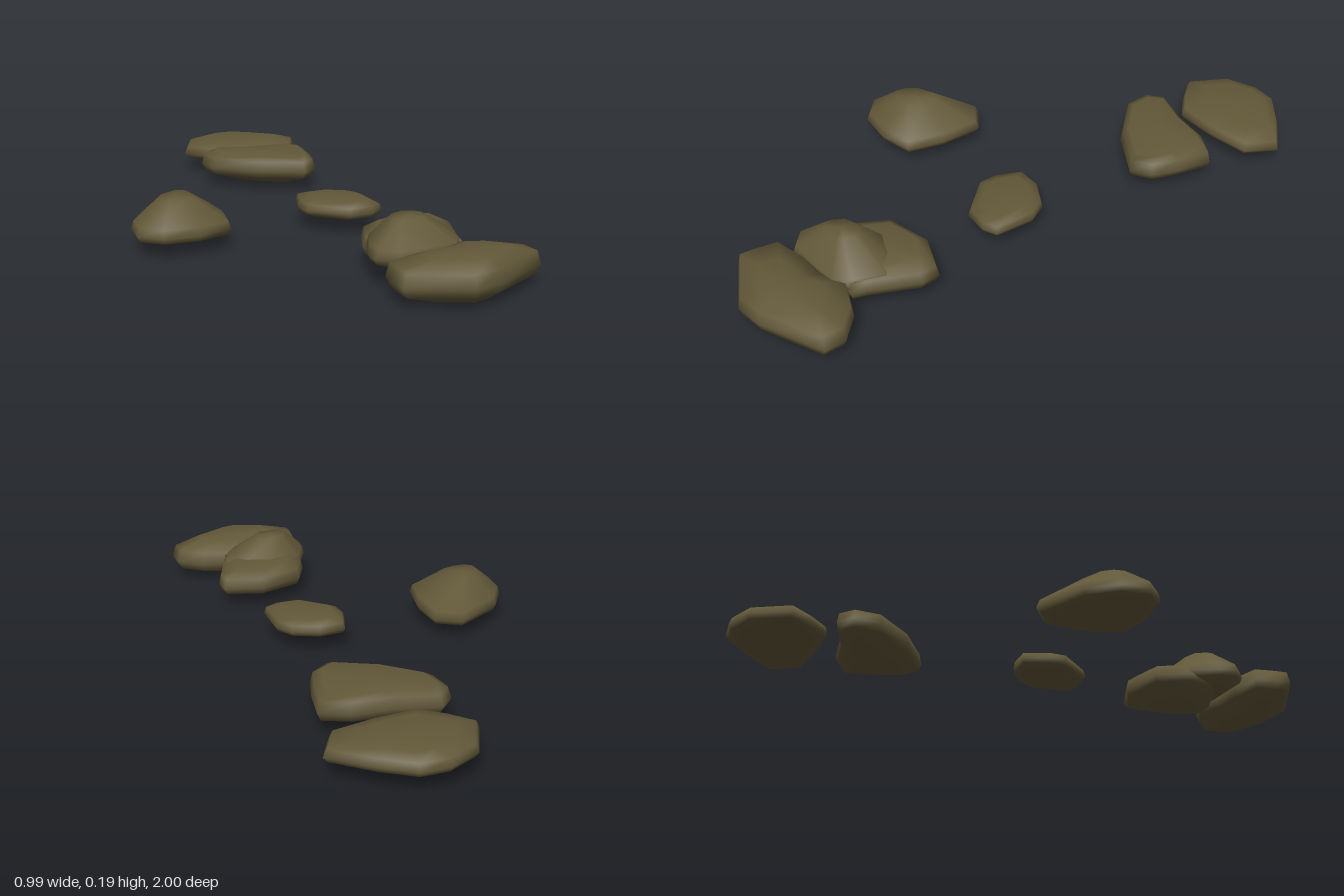
import * as THREE from 'three';

// Worn stone: rings swept from a flat underside, round a thick rim, up to a crown.
// outline: [x, z] corners, clockwise from above
// y: [underside, rim bottom, rim top, crown]; crown and base: [x, z, scale]
function stoneGeometry({ outline, y, crown, base = crown }) {
  const n = outline.length;
  const cx = outline.reduce((s, p) => s + p[0], 0) / n;
  const cz = outline.reduce((s, p) => s + p[1], 0) / n;
  const [lo, rimLo, rimHi, hi] = y;
  const rings = [
    [base[0], base[1], base[2], lo],
    [cx, cz, 0.94, rimLo],
    [cx, cz, 1, rimLo + (rimHi - rimLo) * 0.4],
    [cx, cz, 0.95, rimHi],
    [crown[0], crown[1], crown[2], hi],
  ];
  const pos = [];
  const index = [];
  for (const [x, z, s, h] of rings) {
    for (const p of outline) pos.push(x + (p[0] - cx) * s, h, z + (p[1] - cz) * s);
  }
  const bottom = rings.length * n;
  const top = bottom + 1;
  pos.push(base[0], lo - 0.002, base[1], crown[0], hi + 0.003, crown[1]);
  const last = (rings.length - 1) * n;
  for (let i = 0; i < n; i++) {
    const j = (i + 1) % n;
    for (let r = 0; r < last; r += n) {
      index.push(r + j, r + i, r + n + i, r + j, r + n + i, r + n + j);
    }
    index.push(bottom, i, j, top, last + j, last + i);
  }
  const geometry = new THREE.BufferGeometry();
  geometry.setAttribute('position', new THREE.Float32BufferAttribute(pos, 3));
  geometry.setIndex(index);
  geometry.computeVertexNormals();
  return geometry;
}

const stones = {
  backStone: {
    outline: [[0.01, -0.82], [0.07, -0.95], [0.17, -1], [0.26, -1], [0.36, -0.93],
      [0.47, -0.83], [0.42, -0.73], [0.28, -0.7], [0.14, -0.69], [0.07, -0.75]],
    y: [0.042, 0.055, 0.095, 0.11], crown: [0.23, -0.85, 0.65],
  },
  backInnerStone: {
    outline: [[0.01, -0.63], [0.055, -0.675], [0.19, -0.64], [0.32, -0.63], [0.405, -0.59],
      [0.385, -0.475], [0.36, -0.385], [0.3, -0.34], [0.145, -0.42], [0.02, -0.54]],
    y: [0.025, 0.05, 0.11, 0.124], crown: [0.22, -0.53, 0.8], base: [0.23, -0.52, 0.5],
  },
  smallStone: {
    outline: [[0.095, 0.055], [0.125, -0.035], [0.21, -0.04], [0.295, 0], [0.33, 0.06],
      [0.33, 0.195], [0.285, 0.22], [0.205, 0.22], [0.1, 0.115]],
    y: [0.045, 0.055, 0.09, 0.102], crown: [0.22, 0.09, 0.7],
  },
  sideStone: {
    outline: [[-0.495, 0.18], [-0.485, 0.08], [-0.425, -0.015], [-0.26, -0.11], [-0.18, -0.06],
      [-0.175, 0.08], [-0.2, 0.205], [-0.315, 0.24], [-0.43, 0.235]],
    y: [0.037, 0.048, 0.092, 0.162], crown: [-0.345, 0.1, 0.35], base: [-0.32, 0.1, 0.65],
  },
  lowerStone: {
    outline: [[0.08, 0.55], [0.125, 0.45], [0.275, 0.4], [0.4, 0.44], [0.405, 0.5],
      [0.345, 0.66], [0.335, 0.7], [0.2, 0.71], [0.09, 0.66]],
    y: [0.012, 0.05, 0.105, 0.127], crown: [0.25, 0.55, 0.65], base: [0.23, 0.61, 0.5],
  },
  upperStone: {
    outline: [[0.035, 0.72], [0.04, 0.66], [0.09, 0.555], [0.21, 0.5], [0.31, 0.53],
      [0.36, 0.59], [0.33, 0.69], [0.29, 0.74], [0.09, 0.765]],
    y: [0.05, 0.07, 0.115, 0.184], crown: [0.175, 0.64, 0.34], base: [0.2, 0.64, 0.65],
  },
  frontStone: {
    outline: [[0.02, 0.87], [0.03, 0.79], [0.135, 0.755], [0.24, 0.74], [0.32, 0.7],
      [0.41, 0.73], [0.485, 0.795], [0.49, 0.865], [0.29, 0.975], [0.2, 0.995], [0.02, 0.915]],
    y: [0.004, 0.035, 0.105, 0.13], crown: [0.25, 0.85, 0.55], base: [0.25, 0.85, 0.5],
  },
};

export function createModel() {
  const group = new THREE.Group();
  group.name = 'scatteredStones';
  const stone = new THREE.MeshStandardMaterial({ color: 0x625839 });
  stone.name = 'brownStone';
  for (const [name, spec] of Object.entries(stones)) {
    const mesh = new THREE.Mesh(stoneGeometry(spec), stone);
    mesh.name = name;
    group.add(mesh);
  }
  return group;
}
